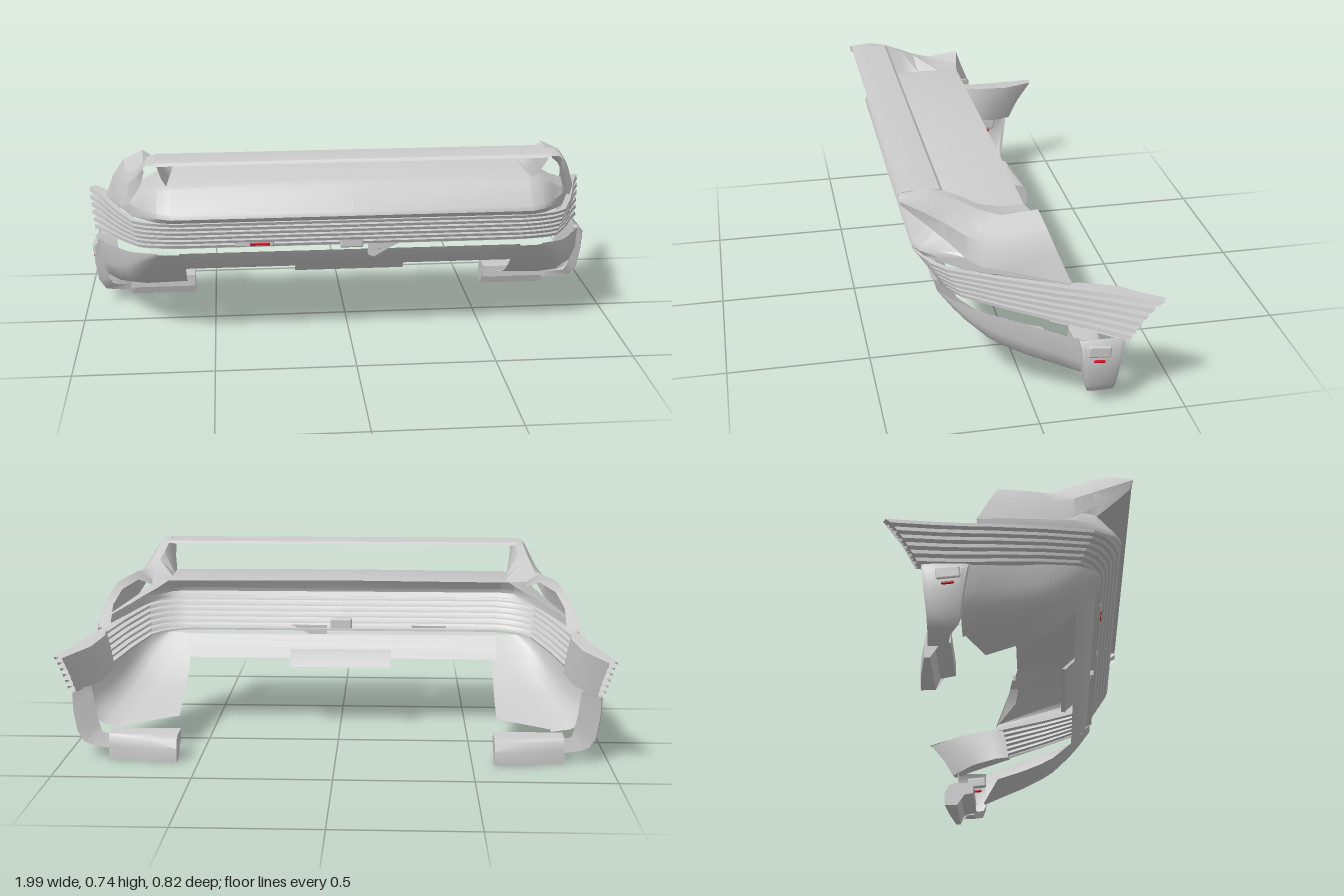
import * as THREE from 'three';
import { toCreasedNormals } from 'three/addons/utils/BufferGeometryUtils.js';
import { RoundedBoxGeometry } from 'three/addons/geometries/RoundedBoxGeometry.js';

const grey = new THREE.MeshStandardMaterial({ color: 0xcccccc, side: THREE.DoubleSide });
const red = new THREE.MeshStandardMaterial({ color: 0xcc1020 });
const lerp = THREE.MathUtils.lerp;

// Skin a list of cross-sections, each a list of [x, y, z] points
function loft(sections, { closed = false, caps = false, crease = 0.5 } = {}) {
  const n = sections[0].length, index = [];
  for (let i = 0; i < sections.length - 1; i++) {
    for (let j = 0; j < (closed ? n : n - 1); j++) {
      const a = i * n + j, b = i * n + (j + 1) % n, c = a + n, d = b + n;
      index.push(a, c, b, b, c, d);
    }
  }
  if (caps) {
    const last = (sections.length - 1) * n;
    for (let j = 1; j < n - 1; j++) index.push(0, j, j + 1, last, last + j + 1, last + j);
  }
  const g = new THREE.BufferGeometry();
  g.setAttribute('position', new THREE.Float32BufferAttribute(sections.flat(2), 3));
  g.setIndex(index);
  return toCreasedNormals(g, crease);
}

const flip = (section) => section.map(([x, y, z]) => [-x, y, z]);
// Extend half sections (x >= 0) across the centre line
const span = (half) => [...half.slice(1).reverse().map(flip), ...half];

export function createModel() {
  const model = new THREE.Group();
  const add = (name, geometry, material = grey) => {
    const m = new THREE.Mesh(geometry, material);
    m.name = name;
    model.add(m);
    return m;
  };
  const addPair = (name, sections, options) => {
    add('left' + name, loft(sections, options));
    add('right' + name, loft(sections.map(flip), options));
  };

  // Thin spoiler blade
  const bladeProfile = [[0.26, 0.728], [0.27, 0.737], [0.36, 0.742], [0.395, 0.738], [0.403, 0.728], [0.36, 0.728]];
  add('spoilerBlade', loft([-0.69, 0.69].map((x) => bladeProfile.map(([z, y]) => [x, y, z])),
    { closed: true, caps: true }));

  // Deck and front lip: each row is x followed by [z, y] points
  const deck = [
    [0, [-0.02, 0.632], [0.26, 0.628], [0.29, 0.613], [0.358, 0.535], [0.363, 0.52], [0.345, 0.5]],
    [0.64, [-0.02, 0.628], [0.26, 0.625], [0.29, 0.611], [0.358, 0.535], [0.363, 0.52], [0.345, 0.5]],
    [0.69, [-0.02, 0.595], [0.24, 0.612], [0.275, 0.604], [0.335, 0.535], [0.34, 0.52], [0.325, 0.5]],
    [0.735, [-0.02, 0.57], [0.2, 0.585], [0.23, 0.585], [0.28, 0.535], [0.285, 0.515], [0.28, 0.497]],
    [0.785, [-0.03, 0.54], [0.16, 0.545], [0.17, 0.545], [0.2, 0.53], [0.2, 0.512], [0.2, 0.485]],
    [0.895, [-0.11, 0.485], [-0.11, 0.483], [-0.115, 0.48], [-0.12, 0.475], [-0.12, 0.468], [-0.12, 0.455]],
  ];
  add('deck', loft(span(deck.map(([x, ...p]) => p.map(([z, y]) => [x, y, z])))));

  // Spoiler end fins, front tip to rear edge; the rear sections swell into a raised scoop
  const fin = [
    [[0.675, 0.722, 0.405], [0.68, 0.734, 0.405], [0.71, 0.734, 0.405], [0.72, 0.73, 0.405], [0.725, 0.722, 0.405], [0.722, 0.71, 0.405]],
    [[0.668, 0.665, 0.34], [0.68, 0.743, 0.33], [0.715, 0.74, 0.33], [0.731, 0.716, 0.33], [0.743, 0.685, 0.33], [0.74, 0.645, 0.33]],
    [[0.655, 0.62, 0.28], [0.68, 0.735, 0.27], [0.715, 0.73, 0.27], [0.74, 0.695, 0.268], [0.762, 0.65, 0.265], [0.765, 0.59, 0.265]],
    [[0.648, 0.625, 0.2], [0.69, 0.704, 0.2], [0.725, 0.7, 0.2], [0.76, 0.655, 0.2], [0.79, 0.61, 0.2], [0.8, 0.53, 0.2]],
    [[0.643, 0.628, 0.14], [0.7, 0.68, 0.15], [0.735, 0.675, 0.15], [0.782, 0.628, 0.15], [0.81, 0.585, 0.135], [0.822, 0.512, 0.16]],
    [[0.638, 0.63, 0.06], [0.705, 0.645, 0.08], [0.745, 0.653, 0.08], [0.812, 0.625, 0.075], [0.84, 0.576, 0.07], [0.85, 0.5, 0.07]],
    [[0.634, 0.63, -0.02], [0.7, 0.632, -0.03], [0.752, 0.666, -0.04], [0.826, 0.628, -0.055], [0.868, 0.562, -0.08], [0.905, 0.465, -0.12]],
  ];
  addPair('SpoilerFin', fin, { crease: 0.5 });
  // Rear lip closing the back of each fin
  addPair('FinReturn', [
    fin[6].slice(1),
    [[0.7, 0.612, -0.03], [0.75, 0.635, -0.045], [0.81, 0.6, -0.06], [0.842, 0.545, -0.085], [0.85, 0.465, -0.115]],
  ]);

  // Wrap-around ribs: stations give x, the fraction from front to rear tip, and the groove depth
  const stations = [[0, 0, 0.02], [0.62, 0, 0.02], [0.68, 0.02, 0.02], [0.74, 0.06, 0.02], [0.785, 0.12, 0.02],
    [0.845, 0.34, 0.02], [0.9, 0.58, 0.025], [0.915, 0.66, 0.045], [0.95, 0.82, 0.05], [0.996, 1, 0.03]];
  const ribCount = 6;
  const ribPoint = (s, k, inset) => {
    const t = k / ribCount;
    const at = ([x, f]) => [x * (1 - 0.025 * t),
      lerp(lerp(0.36, 0.28, t), lerp(-0.406, -0.295, Math.pow(t, 0.75)), f)];
    const [x, z] = at(stations[s]);
    const p = at(stations[Math.max(s - 1, 0)]), q = at(stations[Math.min(s + 1, stations.length - 1)]);
    const dx = q[0] - p[0], dz = q[1] - p[1], l = Math.hypot(dx, dz);
    const y = lerp(lerp(0.503, 0.379, t), lerp(0.417, 0.262, t), stations[s][1]);
    return [x + dz / l * inset, y, z - dx / l * inset];
  };
  add('wrapAroundRibs', loft(span(stations.map(([, , depth], s) => {
    const points = [];
    for (let k = 0; k < ribCount; k++) {
      points.push(ribPoint(s, k, depth), ribPoint(s, k + 0.04, 0.002), ribPoint(s, k + 0.55, 0),
        ribPoint(s, k + 0.66, depth));
    }
    points.push(ribPoint(s, ribCount, depth * 0.8));
    return points;
  })), { crease: 0.4 }));

  // Smooth inner skin behind the flared rib ends
  addPair('FlareInnerSkin', [6, 7, 8, 9].map((s, i) => {
    const depth = [0.03, 0.055, 0.065, 0.033][i];
    return [ribPoint(s, 0.04, 0.01), ribPoint(s, 0.15, depth), ribPoint(s, ribCount / 2, depth),
      ribPoint(s, ribCount - 0.1, depth), ribPoint(s, ribCount, 0.01)];
  }));

  // Lower valance between the pods, with a lip reaching forward under the ribs
  add('lowerValance', loft([-0.62, 0.62].map((x) =>
    [[x, 0.37, 0.292], [x, 0.362, 0.272], [x, 0.345, 0.262], [x, 0.315, 0.24], [x, 0.28, 0.205]])));
  add('centrePanel', loft([-0.2, 0.2].map((x) =>
    [[x, 0.31, 0.232], [x, 0.25, 0.173], [x, 0.253, 0.16], [x, 0.3, 0.21]]), { closed: true, caps: true }));

  // Lower side pods: z, floor y, corner x, top y, outer x, inner x
  const pods = [
    [0.285, 0.362, 0.67, 0.37, 0.7, 0.6], [0.24, 0.31, 0.72, 0.36, 0.76, 0.6],
    [0.2, 0.27, 0.75, 0.35, 0.795, 0.6], [0.13, 0.21, 0.78, 0.335, 0.83, 0.6],
    [0.08, 0.183, 0.8, 0.325, 0.85, 0.6], [0, 0.15, 0.825, 0.305, 0.88, 0.6],
    [-0.1, 0.117, 0.855, 0.284, 0.925, 0.6], [-0.165, 0.092, 0.87, 0.272, 0.95, 0.82],
  ];
  addPair('LowerPod', pods.map(([z, y0, xc, y1, xo, xi]) => {
    const h = y1 - y0;
    return [[xi, y0 + 0.004, z], [xc - 0.07, y0, z], [xc, y0 + h * 0.06, z],
      [lerp(xc, xo, 0.6), y0 + h * 0.22, z], [lerp(xc, xo, 0.9), y0 + h * 0.5, z], [xo, y1, z]];
  }), { crease: 0.8 });

  // Rear legs curving inward: x, y, front z, rear z, inward x and y of the rear flange
  const leg = [
    [0.952, 0.275, -0.14, -0.292, -0.06, 0.005], [0.967, 0.25, -0.145, -0.288, -0.08, 0.005],
    [0.966, 0.18, -0.155, -0.28, -0.085, 0.01], [0.955, 0.1, -0.165, -0.27, -0.085, 0.03],
    [0.935, 0.065, -0.175, -0.268, -0.07, 0.045], [0.9, 0.05, -0.2, -0.268, -0.04, 0.05],
    [0.825, 0.042, -0.21, -0.275, 0, 0.053],
  ];
  addPair('RearLeg', leg.map(([x, y, zf, zr, ix, iy]) => [
    [x + ix * 0.5, y + iy * 0.5, zf + 0.004], [x - 0.006, y, zf], [x, y, zf - 0.015],
    [x, y, zr + 0.015], [x - 0.006, y, zr], [x + ix, y + iy, zr + 0.008],
  ]), { crease: 0.7 });

  // Horizontal feet at the bottom of the legs, thinner toward the outside
  const foot = [[-0.2, 0.1], [-0.28, 0.098], [-0.302, 0.088], [-0.318, 0.055], [-0.315, 0.004],
    [-0.265, 0.004], [-0.25, 0.045], [-0.2, 0.055]];
  addPair('Foot', [[0.58, 1], [0.7, 0.75], [0.835, 0.3]].map(([x, w]) =>
    foot.map(([z, y]) => [x, y, z < -0.27 ? -0.27 + (z + 0.27) * w : z])), { closed: true, caps: true });

  // Side lamps and reflectors on the legs
  for (const s of [1, -1]) {
    const side = s > 0 ? 'left' : 'right';
    const lamp = add(side + 'SideLamp', new RoundedBoxGeometry(0.024, 0.044, 0.08, 2, 0.008));
    lamp.position.set(s * 0.959, 0.235, -0.205);
    lamp.rotation.x = -0.1;
    const reflector = add(side + 'SideReflector', new RoundedBoxGeometry(0.014, 0.01, 0.04, 2, 0.004), red);
    reflector.position.set(s * 0.964, 0.199, -0.205);
    reflector.rotation.x = -0.1;
  }

  // Small fittings along the front
  const fitting = (name, w, h, d, x, y, z, material) => {
    add(name, new RoundedBoxGeometry(w, h, d, 2, Math.min(w, h, d) * 0.25), material).position.set(x, y, z);
  };
  fitting('centreLamp', 0.085, 0.05, 0.03, 0, 0.402, 0.283);
  fitting('badgeBase', 0.14, 0.02, 0.02, -0.35, 0.401, 0.288);
  fitting('badgeInsert', 0.07, 0.011, 0.012, -0.33, 0.401, 0.295, red);

  // Pointed bracket beside the centre lamp
  const hook = new THREE.Shape([[0.06, 0.4], [0.2, 0.4], [0.14, 0.37], [0.08, 0.335], [0.06, 0.345]]
    .map(([x, y]) => new THREE.Vector2(x, y)));
  add('pointedBracket', new THREE.ExtrudeGeometry(hook, { depth: 0.012, bevelEnabled: false })).position.z = 0.272;

  return model;
}
